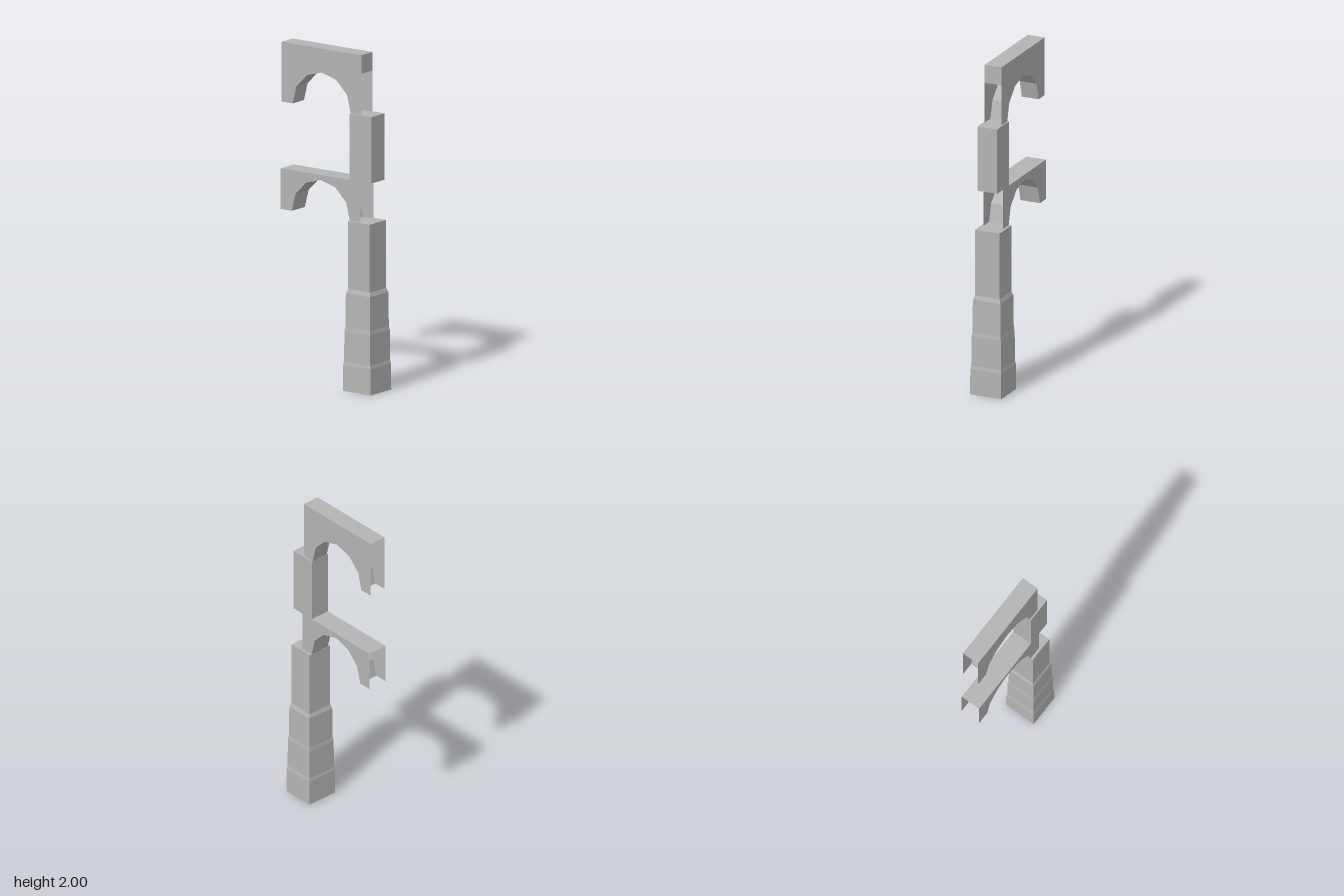
import * as THREE from 'three';

// Sheet swept across x through a list of [z, y] points, flat shaded
function ribbon(points, halfWidth) {
  const pos = [];
  for (let i = 0; i < points.length - 1; i++) {
    const [z0, y0] = points[i];
    const [z1, y1] = points[i + 1];
    const a = [-halfWidth, y0, z0], b = [halfWidth, y0, z0];
    const c = [halfWidth, y1, z1], d = [-halfWidth, y1, z1];
    pos.push(...a, ...b, ...c, ...a, ...c, ...d);
  }
  return fromPositions(pos);
}

// Square tube through [y, halfX, halfZ] sections, closed at the top, open below
function squareTube(sections, zCentre) {
  const corner = ([y, hx, hz], k) => {
    const [sx, sz] = [[-1, 1], [1, 1], [1, -1], [-1, -1]][k % 4];
    return [sx * hx, y, zCentre + sz * hz];
  };
  const pos = [];
  const quad = (a, b, c, d) => pos.push(...a, ...b, ...c, ...a, ...c, ...d);
  for (let i = 0; i < sections.length - 1; i++) {
    for (let k = 0; k < 4; k++) {
      quad(corner(sections[i], k), corner(sections[i], k + 1),
        corner(sections[i + 1], k + 1), corner(sections[i + 1], k));
    }
  }
  const top = sections[sections.length - 1];
  quad(...[0, 1, 2, 3].map((k) => corner(top, k)));
  return fromPositions(pos);
}

function fromPositions(pos) {
  const geo = new THREE.BufferGeometry();
  geo.setAttribute('position', new THREE.Float32BufferAttribute(pos, 3));
  geo.computeVertexNormals();
  return geo;
}

export function createModel() {
  const group = new THREE.Group();
  const stone = new THREE.MeshStandardMaterial({ color: 0xb4b4b4, side: THREE.DoubleSide });
  stone.name = 'stone grey';

  const add = (parent, name, geo) => {
    const mesh = new THREE.Mesh(geo, stone);
    mesh.name = name;
    parent.add(mesh);
    return mesh;
  };

  // Hollow arch: two side walls, a faceted underside and a top, open at the ends
  function arch(name, base, top, halfWidth, topFront) {
    const part = new THREE.Group();
    part.name = name;
    const curve = [
      [0.162, 0], [0.135, 0.105], [0.056, 0.183], [-0.049, 0.212],
      [-0.154, 0.183], [-0.233, 0.105], [-0.26, 0],
    ].map(([z, y]) => [z, base + y]);

    const outline = [[0.24, base], ...curve, [-0.34, base], [-0.34, top], [0.24, top]];
    const wall = new THREE.ShapeGeometry(
      new THREE.Shape(outline.map(([z, y]) => new THREE.Vector2(-z, y))));
    wall.rotateY(Math.PI / 2);
    for (const side of [-1, 1]) {
      const geo = wall.clone();
      if (side < 0) geo.rotateY(Math.PI).scale(1, 1, -1);
      // Restore the outward winding after mirroring
      if (side < 0) {
        const index = geo.index.array;
        for (let i = 0; i < index.length; i += 3) {
          [index[i], index[i + 1]] = [index[i + 1], index[i]];
        }
        geo.computeVertexNormals();
      }
      geo.translate(side * halfWidth, 0, 0);
      add(part, side > 0 ? 'leftArchWall' : 'rightArchWall', geo);
    }
    add(part, 'archUnderside', ribbon(curve, halfWidth));
    add(part, 'archTop', ribbon([[topFront, top], [-0.34, top]], halfWidth));
    group.add(part);
    return part;
  }

  // Stepped pier with sloping ledges
  add(group, 'pier', squareTube([
    [0, 0.1, 0.1], [0.155, 0.099, 0.099], [0.175, 0.095, 0.095],
    [0.355, 0.094, 0.094], [0.38, 0.09, 0.09], [0.58, 0.088, 0.088],
    [0.605, 0.079, 0.079], [1.008, 0.079, 0.079],
  ], 0.24));

  arch('lowerArch', 1.008, 1.25, 0.063, 0.162);

  // Upper pier block, standing proud of the arches
  add(group, 'upperPier', squareTube([[1.25, 0.063, 0.079], [1.645, 0.063, 0.079]], 0.24));

  // Upper arch with its front closing panel
  const upper = arch('upperArch', 1.645, 2, 0.054, 0.24);
  add(upper, 'frontPanel', ribbon([[0.24, 1.89], [0.24, 2]], 0.054));

  return group;
}
